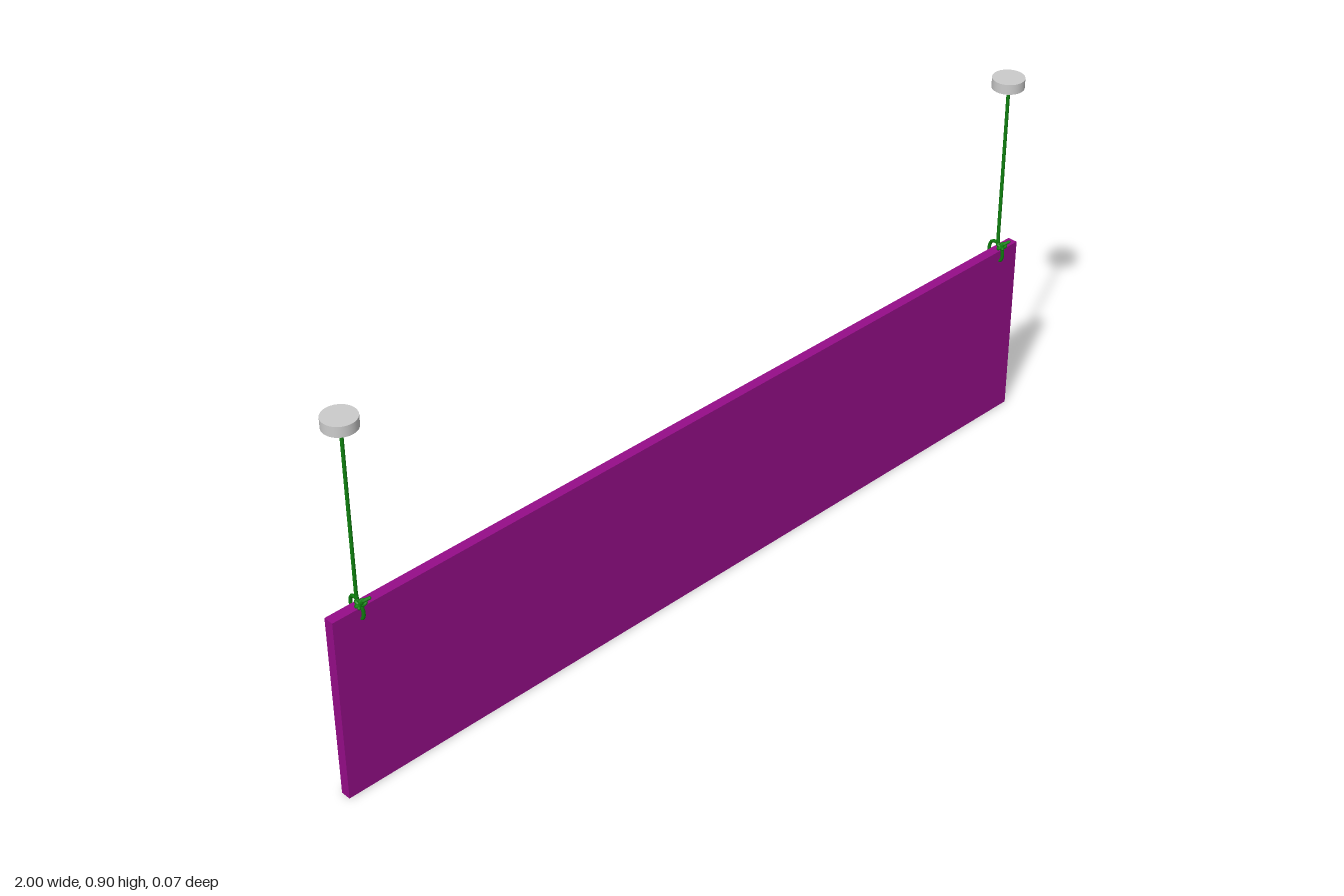
import * as THREE from 'three';

const purple = new THREE.MeshStandardMaterial({ color: 0x950d88 });
const green = new THREE.MeshStandardMaterial({ color: 0x0f800f });
const grey = new THREE.MeshStandardMaterial({ color: 0xcccccc });

function add(parent, name, geometry, material, x = 0, y = 0, z = 0) {
  const mesh = new THREE.Mesh(geometry, material);
  mesh.name = name;
  mesh.position.set(x, y, z);
  parent.add(mesh);
  return mesh;
}

// Smooth cord through a few points, with rounded ends
function addCord(parent, name, points, radius, segments) {
  const pts = points.map((p) => new THREE.Vector3(...p));
  add(parent, name, new THREE.TubeGeometry(new THREE.CatmullRomCurve3(pts), segments, radius, 8), green);
  for (const p of [pts[0], pts[pts.length - 1]]) {
    add(parent, name + 'End', new THREE.SphereGeometry(radius, 8, 6), green, p.x, p.y, p.z);
  }
}

// Ceiling disc, cord, loop through the board and knot
function createHanger() {
  const hanger = new THREE.Group();
  hanger.name = 'hanger';
  add(hanger, 'ceilingDisc', new THREE.CylinderGeometry(0.037, 0.037, 0.024, 32), grey, 0, 0.888, 0);

  // Straight cord running down into the loop around the top edge
  add(hanger, 'cord', new THREE.CylinderGeometry(0.004, 0.004, 0.4, 10), green, 0, 0.68, 0.002);
  addCord(hanger, 'loop', [
    [0, 0.485, 0.002], [0, 0.474, 0.003], [0.002, 0.472, -0.008], [0.005, 0.464, -0.021],
    [0.006, 0.445, -0.027], [0.006, 0.426, -0.019], [0.006, 0.421, -0.006],
    [0.006, 0.426, 0.009], [0.005, 0.444, 0.014], [0.002, 0.462, 0.012], [0, 0.472, 0.005],
  ], 0.004, 64);

  // Overhand knot, with two loose tails
  const knot = [];
  for (let i = 0; i < 12; i++) {
    const t = (i / 12) * Math.PI * 2;
    knot.push(new THREE.Vector3(
      0.0042 * (Math.sin(t) + 2 * Math.sin(2 * t)),
      0.468 + 0.003 * Math.sin(3 * t),
      0.012 + 0.0032 * (Math.cos(t) - 2 * Math.cos(2 * t)),
    ));
  }
  add(hanger, 'knot', new THREE.TubeGeometry(new THREE.CatmullRomCurve3(knot, true), 64, 0.0036, 8, true), green);
  addCord(hanger, 'knotTail', [[0.002, 0.468, 0.012], [0.01, 0.474, 0.018], [0.017, 0.476, 0.021]], 0.0036, 12);
  addCord(hanger, 'knotTail', [[0, 0.466, 0.012], [-0.008, 0.472, 0.021], [-0.015, 0.473, 0.029]], 0.0036, 12);
  return hanger;
}

export function createModel() {
  const model = new THREE.Group();
  model.name = 'hangingSign';

  add(model, 'board', new THREE.BoxGeometry(2, 0.45, 0.024), purple, 0, 0.225, -0.006);

  for (const x of [-0.936, 0.936]) {
    const hanger = createHanger();
    hanger.position.x = x;
    model.add(hanger);
  }
  return model;
}
